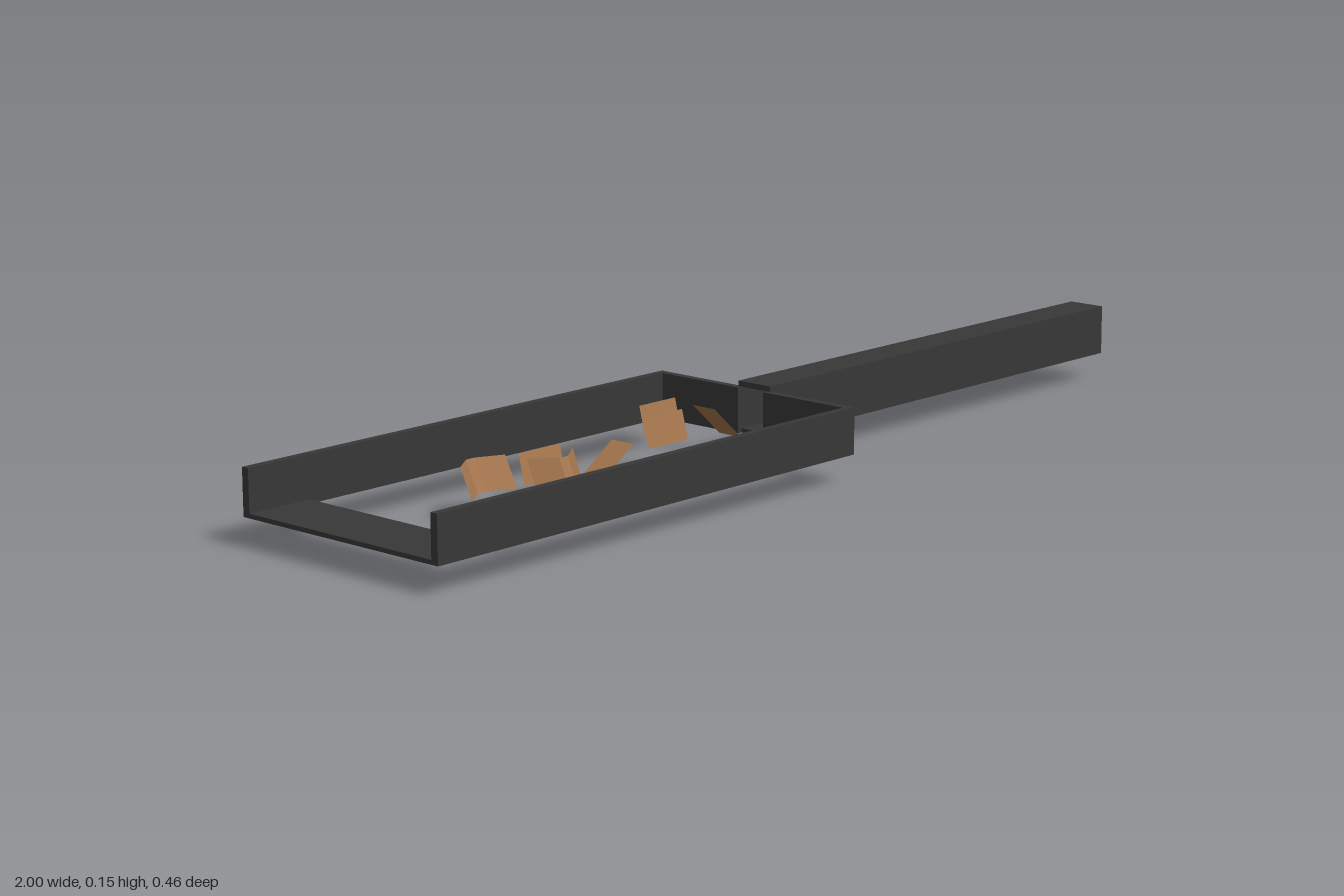
import * as THREE from 'three';

export function createModel() {
  const group = new THREE.Group();
  const iron = new THREE.MeshStandardMaterial({ color: 0x383838 });
  iron.name = 'dark iron';
  const wood = new THREE.MeshStandardMaterial({ color: 0xa5764e, side: THREE.DoubleSide, flatShading: true });
  wood.name = 'brown chip';

  // Box given by its min and max corners
  const box = (name, [x0, y0, z0], [x1, y1, z1]) => {
    const mesh = new THREE.Mesh(new THREE.BoxGeometry(x1 - x0, y1 - y0, z1 - z0), iron);
    mesh.position.set((x0 + x1) / 2, (y0 + y1) / 2, (z0 + z1) / 2);
    mesh.name = name;
    group.add(mesh);
  };

  // Open tray: side walls, a floor strip at the mouth, an end wall around the tube opening
  const bottom = 0.052, rim = 0.137, halfW = 0.232, wall = 0.015;
  const tubeHalf = 0.038, bore = 0.03, tubeTop = 0.147;
  box('trayFloor', [-1, bottom, -halfW], [-0.87, bottom + 0.008, halfW]);
  for (const s of [-1, 1]) {
    const side = s > 0 ? 'Left' : 'Right';
    const span = (a, b) => [Math.min(s * a, s * b), Math.max(s * a, s * b)];
    const [w0, w1] = span(halfW - wall, halfW);
    box('trayWall' + side, [-1, bottom, w0], [0.005, rim, w1]);
    const [e0, e1] = span(bore, halfW - wall);
    box('trayEnd' + side, [-0.01, bottom, e0], [0.005, rim, e1]);
    const [t0, t1] = span(bore, tubeHalf);
    box('handleSide' + side, [0, bottom, t0], [1, tubeTop, t1]);
  }

  // Hollow square handle
  box('handleTop', [0, rim, -bore], [1, tubeTop, bore]);
  box('handleBottom', [0, bottom, -bore], [1, bottom + 0.008, bore]);

  // Thin chip: a polyline swept along one straight vector
  const chip = (path, sweep) => {
    const pos = [];
    const add = p => p.map((v, i) => v + sweep[i]);
    for (let i = 0; i < path.length - 1; i++) {
      const a = path[i], b = path[i + 1];
      pos.push(...a, ...b, ...add(b), ...a, ...add(b), ...add(a));
    }
    const geo = new THREE.BufferGeometry();
    geo.setAttribute('position', new THREE.Float32BufferAttribute(pos, 3));
    geo.computeVertexNormals();
    const mesh = new THREE.Mesh(geo, wood);
    mesh.name = 'woodChip';
    group.add(mesh);
  };

  // Sloping and bent chips lying across the tray
  const across = [0, 0, 0.052];
  chip([[-0.85, 0.05, 0.03], [-0.78, 0.008, 0.03]], across);
  chip([[-0.73, 0.008, 0.03], [-0.685, 0, 0.03], [-0.62, 0.05, 0.03]], across);
  chip([[-0.385, 0.04, -0.055], [-0.312, 0.09, -0.055]], across);
  chip([[-0.13, 0.125, -0.03], [-0.06, 0.062, -0.03]], across);

  // Chips standing on edge
  chip([[-0.51, 0.04, -0.072], [-0.41, 0.04, -0.072]], [0, 0.055, -0.014]);
  chip([[-0.25, 0.087, -0.034], [-0.158, 0.087, -0.034]], [0, 0.054, -0.013]);
  chip([[-0.312, 0.087, 0.034], [-0.212, 0.087, 0.034]], [0, 0.052, -0.014]);

  // Curled chips
  chip([[-0.66, 0.045, -0.045], [-0.615, 0.045, -0.078], [-0.595, 0.045, -0.078], [-0.545, 0.045, -0.055]],
    [0, 0.055, -0.028]);
  chip([[-0.57, 0.05, 0.02], [-0.53, 0.05, 0.058], [-0.51, 0.05, 0.058], [-0.46, 0.05, 0.02]],
    [0, 0.06, -0.025]);

  return group;
}
